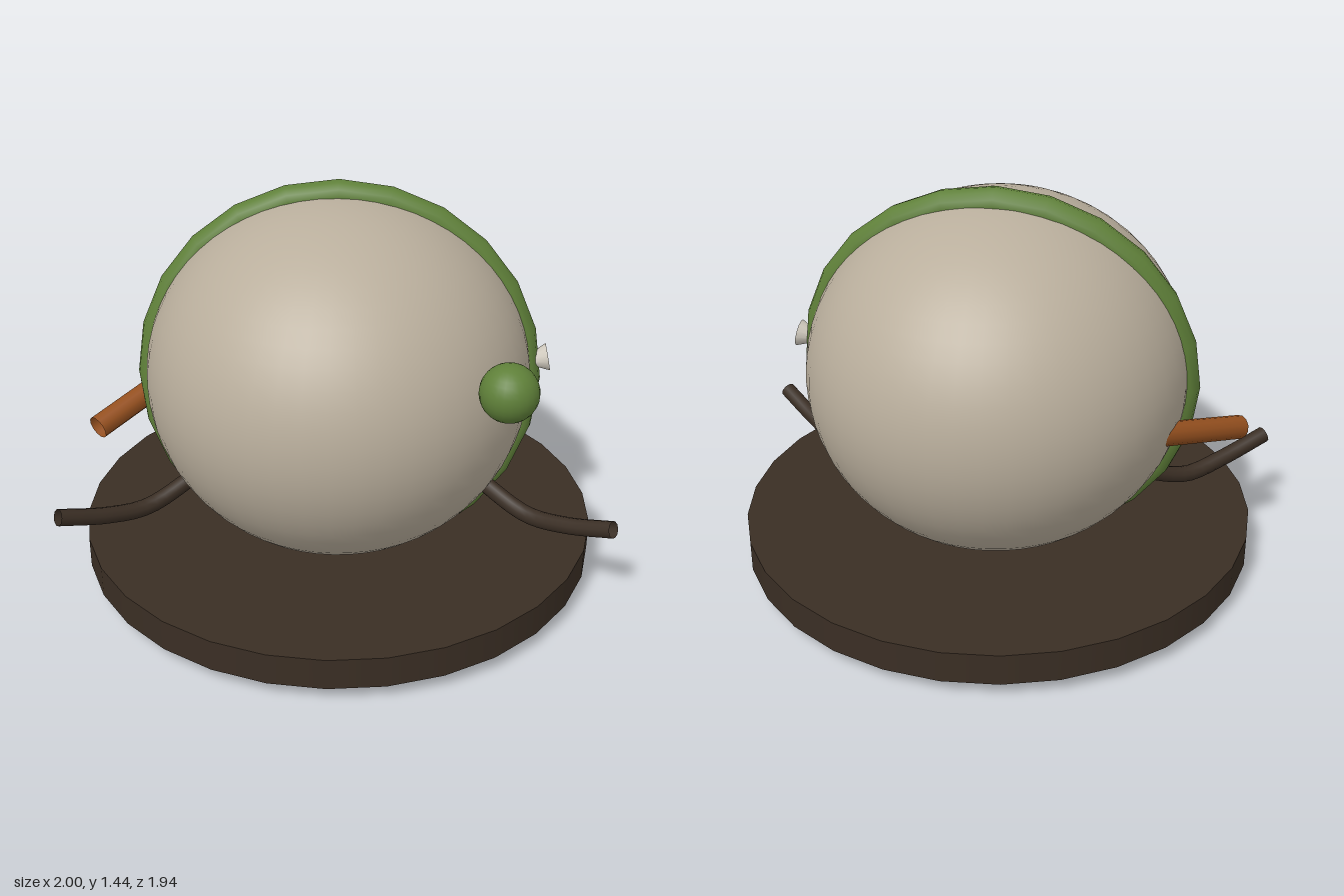
import * as THREE from 'three';

const makeMaterial = (name, color, open = false) => {
  const m = new THREE.MeshStandardMaterial({ color });
  m.name = name;
  if (open) m.side = THREE.DoubleSide;
  return m;
};

export function createModel() {
  const group = new THREE.Group();
  const stone = makeMaterial('warm grey', 0xb9ae9c);
  const green = makeMaterial('leaf green', 0x5f8039);
  const wood = makeMaterial('dark wood', 0x3a2e24, true);
  const orange = makeMaterial('rust orange', 0x95501f, true);
  const pale = makeMaterial('pale grey', 0xd2ccc0);

  const add = (name, geometry, material, x = 0, y = 0, z = 0) => {
    const mesh = new THREE.Mesh(geometry, material);
    mesh.name = name;
    mesh.position.set(x, y, z);
    group.add(mesh);
    return mesh;
  };
  const vec = (p) => new THREE.Vector3(...p);

  // Slightly oval base disc
  const base = add('base', new THREE.CylinderGeometry(1, 1, 0.115, 30), wood, 0, 0.1175, 0);
  base.scale.set(0.95, 1, 0.972);

  // Egg-shaped body
  const body = add('body', new THREE.SphereGeometry(1, 48, 32), stone, 0, 0.745, 0);
  body.scale.set(0.695, 0.65, 0.737);

  // Leaning vine ring around the body
  const ring = add('vineRing', new THREE.TorusGeometry(0.68, 0.056, 12, 24), green, 0, 0.725, 0);
  ring.rotation.x = -0.093;
  ring.scale.y = 0.984;

  // Floating ball at the front left
  add('ball', new THREE.SphereGeometry(0.1, 24, 16), green, 0.577, 0.925, 0.527);

  // Small bud, wide end outward
  const bud = add('bud', new THREE.ConeGeometry(0.05, 0.11, 12), pale, 0.705, 0.796, 0);
  bud.rotation.z = Math.PI / 2 + 0.2;

  // Open spout on the right
  const spoutPath = new THREE.LineCurve3(vec([-0.55, 0.655, -0.28]), vec([-0.885, 0.53, 0.095]));
  add('spout', new THREE.TubeGeometry(spoutPath, 1, 0.044, 12), orange);

  // Mirrored pair of curved arms
  for (const side of [1, -1]) {
    const path = new THREE.CatmullRomCurve3([
      [0.45, 0.37, 0], [0.56, 0.31, 0.085], [0.7, 0.255, 0.192], [0.83, 0.28, 0.3], [0.98, 0.338, 0.415],
    ].map(([x, y, z]) => vec([side * x, y, z])));
    add(side > 0 ? 'leftArm' : 'rightArm', new THREE.TubeGeometry(path, 16, 0.031, 10), wood);
  }

  return group;
}
